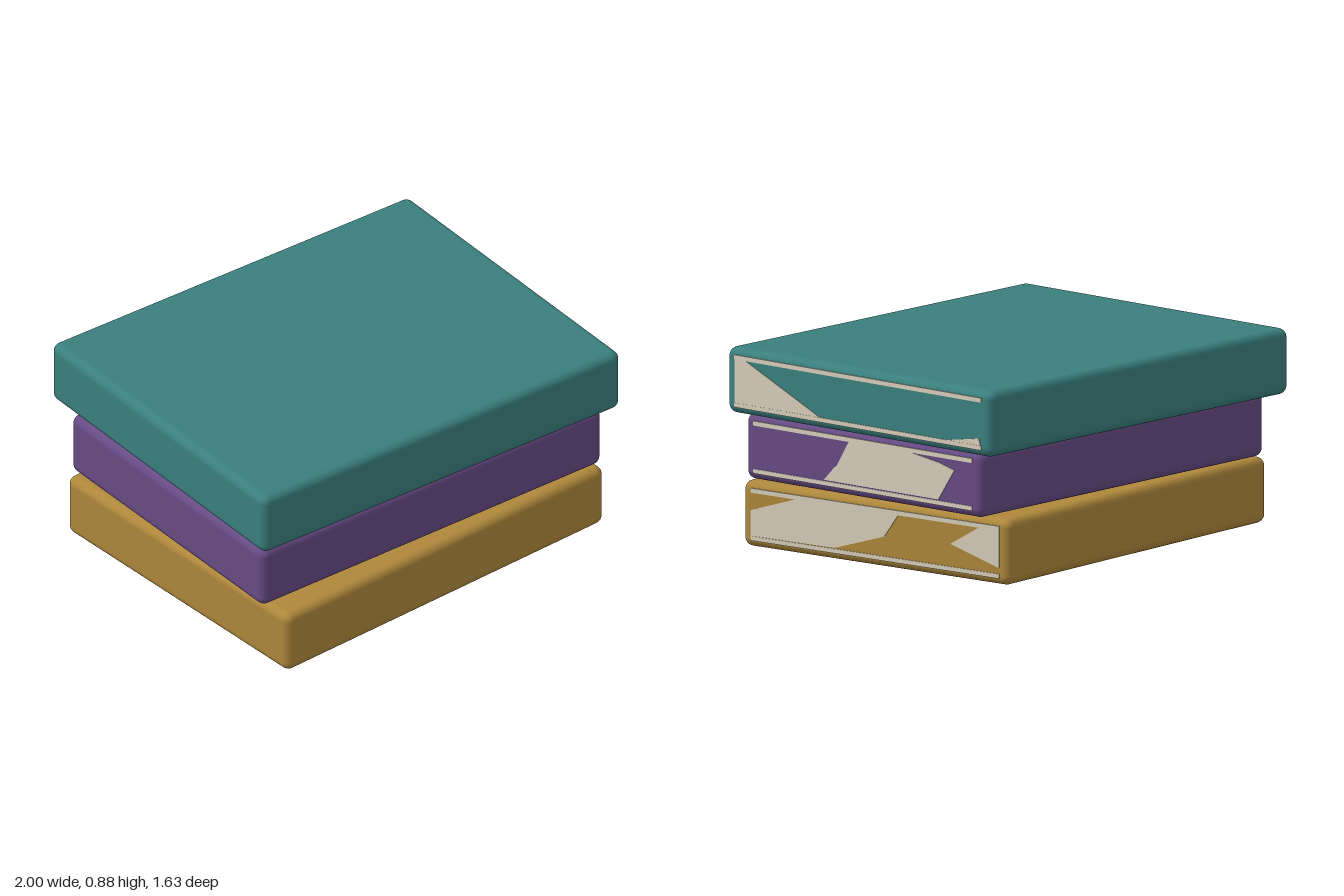
import * as THREE from 'three';
import { RoundedBoxGeometry } from 'three/addons/geometries/RoundedBoxGeometry.js';

const material = (name, color) => new THREE.MeshStandardMaterial({ name, color });

const HEIGHT = 0.29;
const PLATE = 0.004;

export function createModel() {
  const stack = new THREE.Group();
  stack.name = 'bookStack';
  const cream = material('cream', 0xd6cdb9);

  // Patches list [z, y] corners on the book's +x face, measured from the face centre.
  const books = [
    {
      name: 'bottomBook', mat: material('gold', 0xae873b),
      w: 1.805, d: 1.462, x: -0.05, y: 0.15, z: 0.058, turn: 0.015, railHalf: 0.681,
      patches: [
        [[0.681, 0.018], [0.431, 0.097], [-0.129, 0.097], [-0.051, -0.008], [0.221, -0.091], [0.681, -0.095]],
        [[-0.571, 0.097], [-0.681, 0.097], [-0.681, -0.069], [-0.414, 0.005]],
      ],
    },
    {
      name: 'middleBook', mat: material('purple', 0x674b85),
      w: 1.85, d: 1.36, x: -0.035, y: 0.447, z: 0.045, turn: -0.04, railHalf: 0.628,
      patches: [
        [[0.078, 0.098], [0.148, -0.017], [0.168, -0.033], [0.222, -0.09], [-0.434, -0.09],
          [-0.526, 0.05], [-0.439, 0.072], [-0.262, 0.098]],
      ],
    },
    {
      name: 'topBook', mat: material('teal', 0x3a807e),
      w: 1.926, d: 1.535, x: 0, y: 0.74, z: 0, turn: -0.052, railHalf: 0.715,
      patches: [
        [[0.715, 0.095], [0.65, 0.095], [0.22, -0.095], [0.715, -0.095]],
        [[-0.516, -0.095], [-0.7, -0.064], [-0.712, -0.1]],
      ],
    },
  ];

  for (const b of books) {
    const book = new THREE.Group();
    book.name = b.name;
    book.position.set(b.x, b.y, b.z);
    book.rotation.y = b.turn;

    // Rounded cover block
    const cover = new THREE.Mesh(new RoundedBoxGeometry(b.w, HEIGHT, b.d, 4, 0.04), b.mat);
    cover.name = 'cover';
    book.add(cover);

    // Page strips along the upper and lower edges
    for (const side of [1, -1]) {
      const strip = new THREE.Mesh(new THREE.BoxGeometry(0.009, 0.02, b.railHalf * 2), cream);
      strip.name = side > 0 ? 'upperPageStrip' : 'lowerPageStrip';
      strip.position.set(b.w / 2 + PLATE - 0.0045, side * 0.105, 0);
      book.add(strip);
    }

    // Exposed page patches
    for (const corners of b.patches) {
      const shape = new THREE.Shape(corners.map(([z, y]) => new THREE.Vector2(-z, y)));
      const geometry = new THREE.ExtrudeGeometry(shape, { depth: PLATE, bevelEnabled: false });
      geometry.rotateY(Math.PI / 2);
      const patch = new THREE.Mesh(geometry, cream);
      patch.name = 'pagePatch';
      patch.position.x = b.w / 2 - 0.001;
      book.add(patch);
    }
    stack.add(book);
  }

  // Rest the lowest face on the ground
  stack.children.forEach((book) => { book.position.y -= 0.005; });
  return stack;
}
